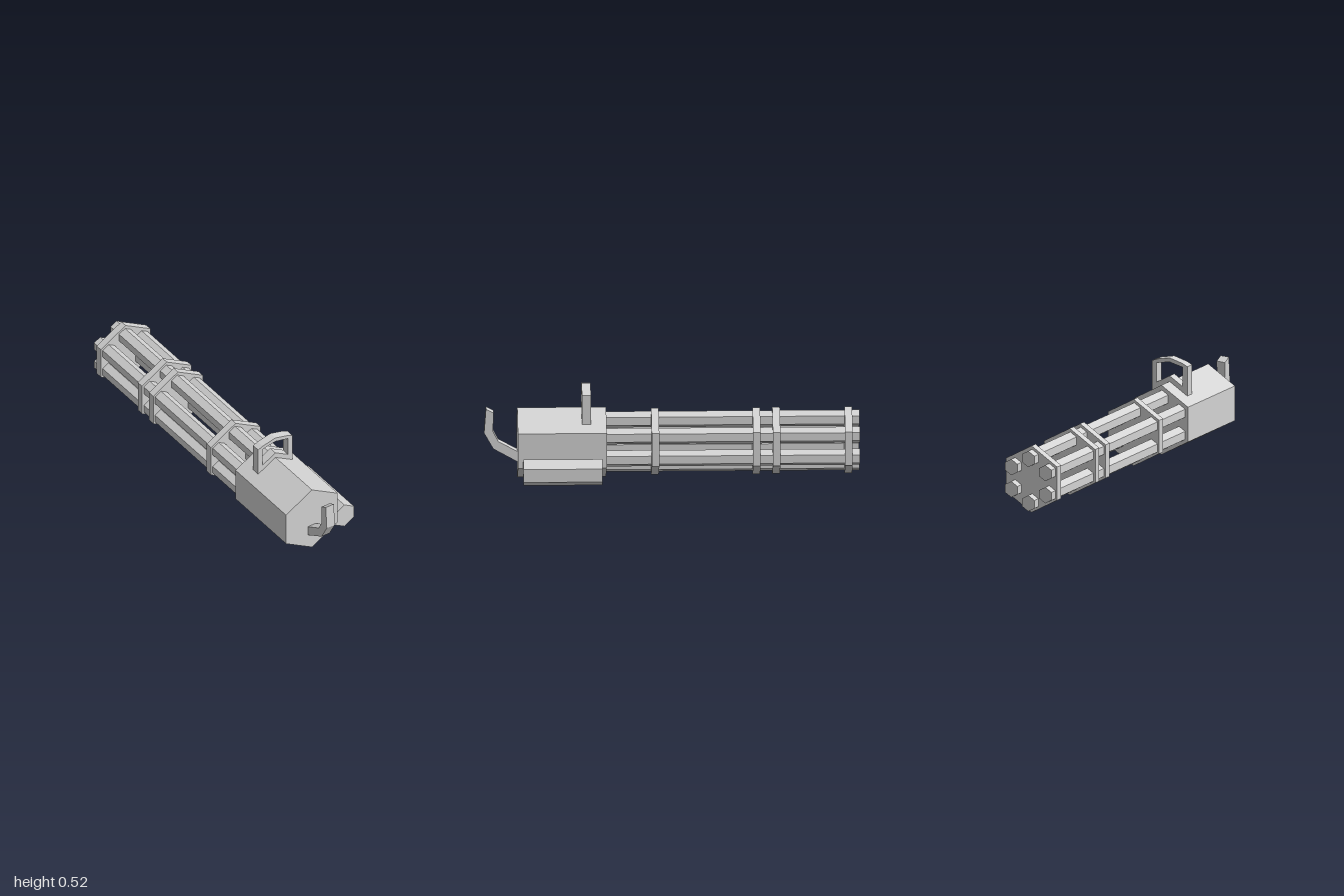
import * as THREE from 'three';

export function createModel() {
  const model = new THREE.Group();
  model.name = 'rotaryGun';
  const metal = new THREE.MeshStandardMaterial({ color: 0xd4d4d4, flatShading: true });
  metal.name = 'lightGreyMetal';

  const AXIS_X = -0.063, AXIS_Y = 0.193;

  function add(name, geometry, x, y, z) {
    const mesh = new THREE.Mesh(geometry, metal);
    mesh.name = name;
    mesh.position.set(x, y, z);
    model.add(mesh);
  }

  // Six-sided prism along z, with a corner pointing up
  function hexPrism(name, radius, x, y, z0, z1) {
    const geometry = new THREE.CylinderGeometry(radius, radius, Math.abs(z1 - z0), 6);
    geometry.rotateX(Math.PI / 2);
    add(name, geometry, x, y, (z0 + z1) / 2);
  }

  const points = (list) => list.map(([a, b]) => new THREE.Vector2(a, b));

  // Housing and the side canister
  hexPrism('housing', 0.193, AXIS_X, AXIS_Y, 0.35, 0.823);
  hexPrism('sideCanister', 0.072, 0.166, 0.093, 0.375, 0.795);

  // Six barrels, set slightly off the housing axis
  for (let i = 0; i < 6; i++) {
    const a = (i * Math.PI) / 3;
    hexPrism('barrel' + (i + 1), 0.0445,
      AXIS_X - 0.004 + 0.123 * Math.sin(a), AXIS_Y - 0.001 + 0.123 * Math.cos(a), -1, 0.35);
  }

  // Solid plates holding the barrels
  [0.09, -0.45, -0.555, -0.94].forEach((z, i) => {
    hexPrism('barrelClamp' + (i + 1), 0.185, AXIS_X, AXIS_Y, z - 0.02, z + 0.02);
  });

  // Carrying handle: closed loop with a saddle resting on the housing
  const handle = new THREE.Shape(points([
    [-0.111, 0.322], [0, 0.386], [0.111, 0.322], [0.111, 0.485],
    [0.082, 0.498], [0, 0.517], [-0.082, 0.498], [-0.111, 0.485],
  ]));
  handle.holes.push(new THREE.Path(points([
    [-0.082, 0.37], [-0.082, 0.477], [0, 0.494], [0.082, 0.477], [0.082, 0.37], [0, 0.417],
  ])));
  add('carryHandle',
    new THREE.ExtrudeGeometry(handle, { depth: 0.048, bevelEnabled: false }), AXIS_X, 0, 0.433);

  // Bent rear grip, drawn in the z-y plane
  const grip = new THREE.Shape(points([
    [0.815, 0.088], [0.95, 0.164], [1, 0.252], [0.99, 0.386],
    [0.95, 0.365], [0.952, 0.26], [0.924, 0.205], [0.815, 0.145],
  ]));
  const gripGeometry = new THREE.ExtrudeGeometry(grip, { depth: 0.052, bevelEnabled: false });
  gripGeometry.rotateY(-Math.PI / 2);
  add('rearGrip', gripGeometry, AXIS_X + 0.026, 0, 0);

  return model;
}
